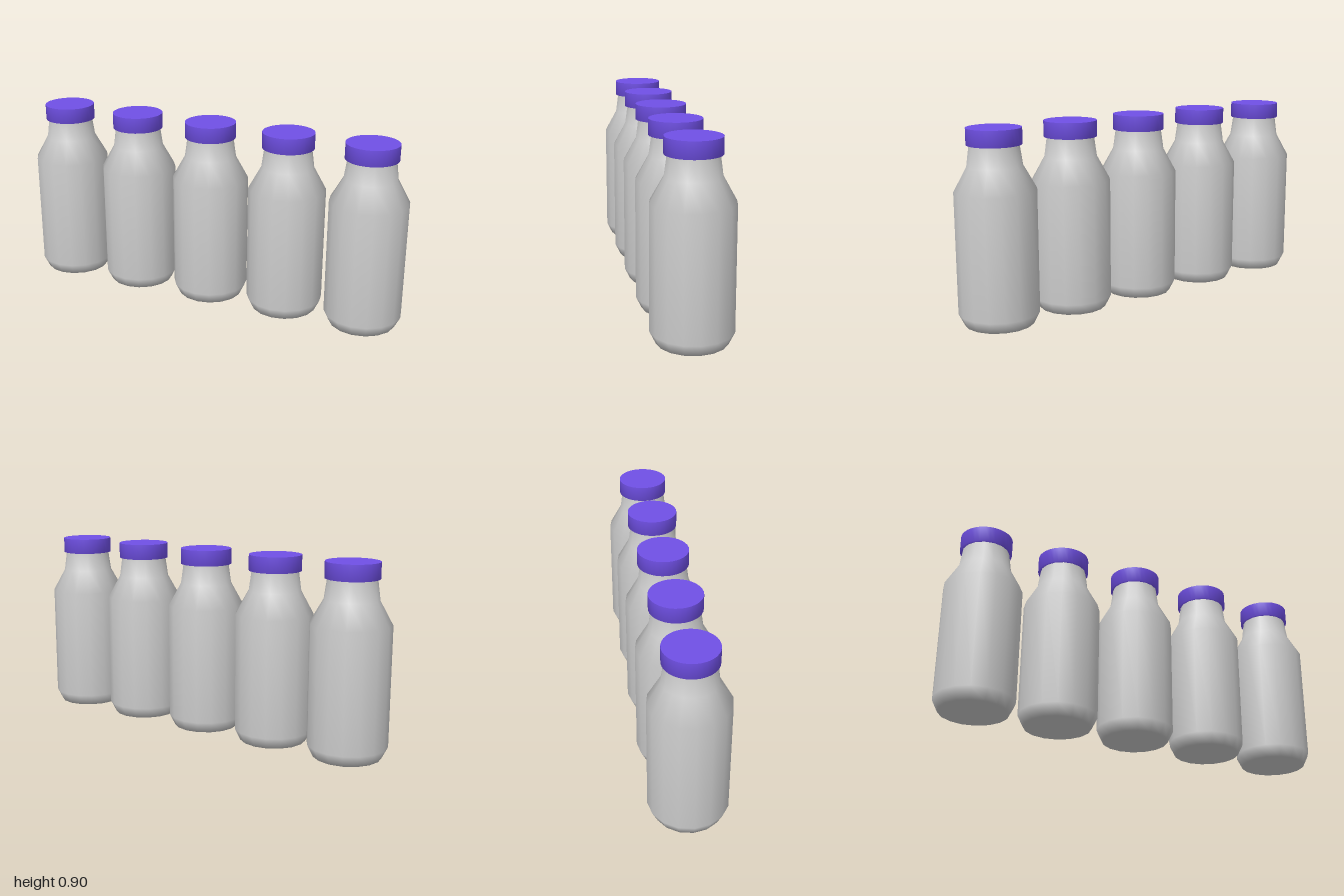
import * as THREE from 'three';

const points = (list) => list.map(([r, y]) => new THREE.Vector2(r, y));

export function createModel() {
  const group = new THREE.Group();
  group.name = 'bottleRow';

  const glass = new THREE.MeshStandardMaterial({ color: 0xcccccc });
  const purple = new THREE.MeshStandardMaterial({ color: 0x7050e6 });

  // Body: chamfered base, straight wall, sloped shoulder, tapering neck
  const bodyGeometry = new THREE.LatheGeometry(points([
    [0, 0], [0.16, 0], [0.187, 0.055], [0.187, 0.62],
    [0.126, 0.73], [0.112, 0.83],
  ]), 16);

  // Cap: underside rolls smoothly into the side, the flat lid is a sharp edge
  const capGeometry = new THREE.LatheGeometry(points([
    [0.1, 0.826], [0.125, 0.826], [0.125, 0.902],
  ]), 32);
  const lidGeometry = new THREE.CircleGeometry(0.125, 32);
  lidGeometry.rotateX(-Math.PI / 2).translate(0, 0.902, 0);

  // Five identical bottles in a row
  for (let i = -2; i <= 2; i++) {
    const bottle = new THREE.Group();
    bottle.name = `bottle${i + 3}`;
    const parts = [
      ['body', bodyGeometry, glass],
      ['capSide', capGeometry, purple],
      ['capLid', lidGeometry, purple],
    ];
    for (const [name, geometry, material] of parts) {
      const mesh = new THREE.Mesh(geometry, material);
      mesh.name = name;
      bottle.add(mesh);
    }
    bottle.position.x = i * 0.4065;
    group.add(bottle);
  }
  return group;
}
